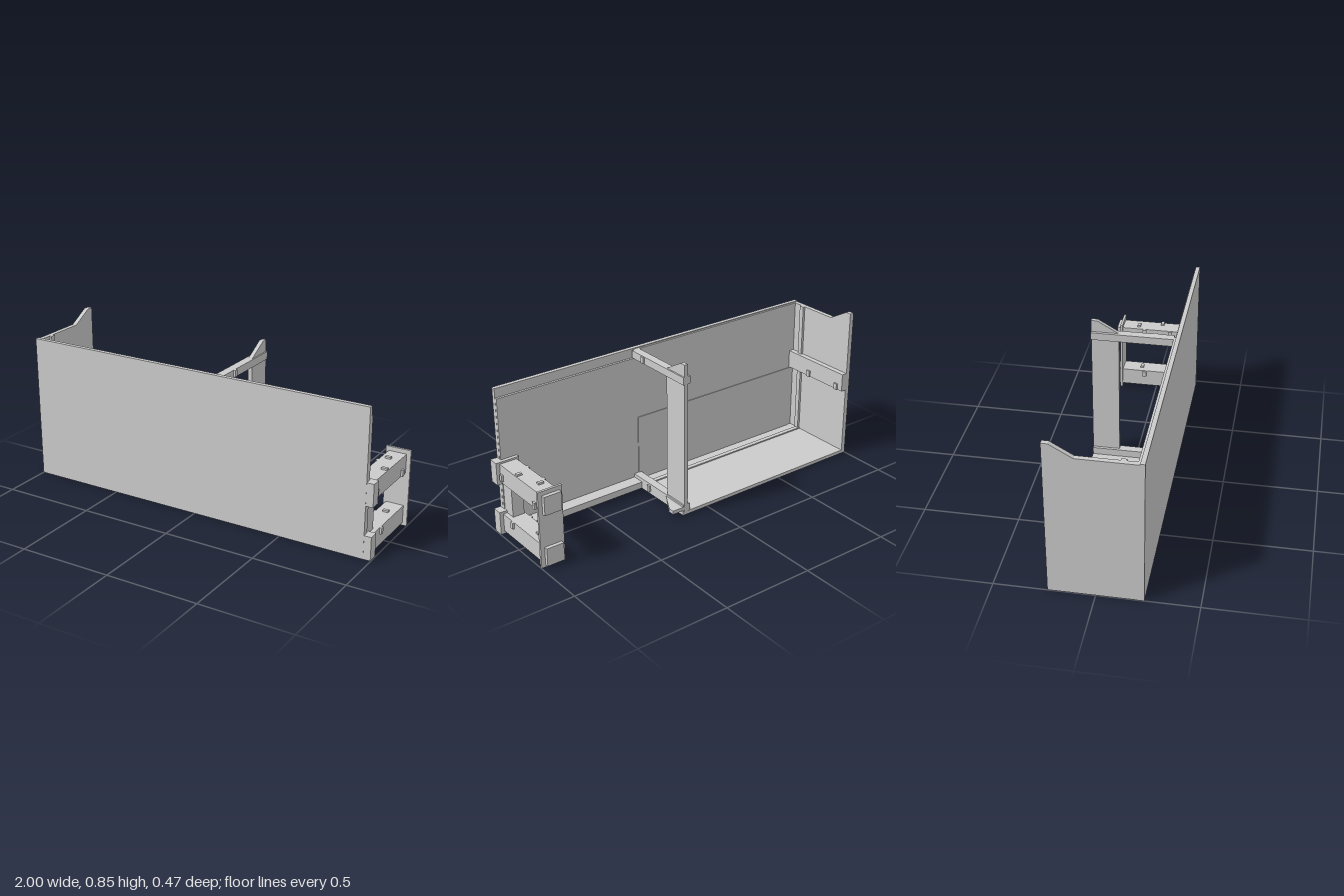
import * as THREE from 'three';

const material = new THREE.MeshStandardMaterial({ color: 0xcccccc, flatShading: true });

export function createModel() {
  const model = new THREE.Group();

  // Box given by its limits on each axis
  const box = (name, [x0, x1], [y0, y1], [z0, z1]) => {
    const mesh = new THREE.Mesh(new THREE.BoxGeometry(x1 - x0, y1 - y0, z1 - z0), material);
    mesh.position.set((x0 + x1) / 2, (y0 + y1) / 2, (z0 + z1) / 2);
    mesh.name = name;
    model.add(mesh);
  };

  // Plate in the side plane: points are [z, y], extruded from x0 to x1
  const sidePlate = (name, points, x0, x1) => {
    const shape = new THREE.Shape(points.map(([z, y]) => new THREE.Vector2(-z, y)));
    const geometry = new THREE.ExtrudeGeometry(shape, { depth: x1 - x0, bevelEnabled: false });
    geometry.rotateY(Math.PI / 2).translate(x0, 0, 0);
    const mesh = new THREE.Mesh(geometry, material);
    mesh.name = name;
    model.add(mesh);
  };

  // Front panel with its inner lining
  box('frontPanel', [-1, 0.96], [0, 0.785], [0.21, 0.233]);
  box('liningLong', [-1, 0.14], [0, 0.78], [0.199, 0.211]);
  box('liningLower', [-0.95, 0.13], [0.02, 0.39], [0.195, 0.2]);
  box('liningShort', [0.14, 0.959], [0.002, 0.735], [0.197, 0.211]);

  // Floor, sill strip and ridge
  box('floor', [-1, 0.16], [0.001, 0.02], [-0.233, 0.21]);
  box('floorRidge', [-0.975, 0.12], [0.015, 0.027], [0.115, 0.14]);
  box('sill', [0.15, 0.958], [0.003, 0.04], [0.127, 0.2]);

  // Outer side panel with a raised back corner
  sidePlate('sidePanel', [[0.21, 0.002], [0.21, 0.78], [-0.087, 0.78], [-0.2, 0.845], [-0.233, 0.845], [-0.233, 0.002]], -1, -0.975);
  box('sideRail', [-0.976, -0.945], [0.395, 0.495], [-0.233, 0.2]);
  box('sidePost', [-0.976, -0.962], [0.02, 0.78], [0.12, 0.147]);
  for (const z of [-0.19, 0.03]) box('sideRailPeg', [-0.946, -0.935], [0.395, 0.43], [z - 0.011, z + 0.011]);

  // Open partition frame
  sidePlate('partitionPost', [[-0.087, 0.004], [-0.087, 0.78], [-0.2, 0.845], [-0.233, 0.845], [-0.233, 0.004]], 0.13, 0.152);
  box('partitionTopRail', [0.115, 0.16], [0.74, 0.781], [-0.233, 0.2]);
  box('partitionBottomRail', [0.115, 0.16], [0.002, 0.06], [-0.232, 0.2]);
  for (const z of [0.1, 0.06]) box('partitionPeg', [0.159, 0.17], z === 0.1 ? [0.745, 0.78] : [0.015, 0.05], [z - 0.011, z + 0.011]);

  // Gusset foot beside the partition
  const foot = new THREE.Shape([[0.15, 0.233], [0.225, 0.233], [0.225, 0.2], [0.16, 0.087], [0.15, 0.087]]
    .map(([x, y]) => new THREE.Vector2(x, y)));
  const footMesh = new THREE.Mesh(new THREE.ExtrudeGeometry(foot, { depth: 0.02, bevelEnabled: false }).rotateX(-Math.PI / 2).translate(0, 0.03, 0), material);
  footMesh.name = 'gussetFoot';
  model.add(footMesh);

  // End bracket: two arms, front blocks, joining post and back plate
  for (const [y0, y1, b0, b1] of [[0.016, 0.113, 0, 0.127], [0.295, 0.395, 0.283, 0.405]]) {
    box('bracketArm', [0.882, 0.978], [y0, y1], [-0.233, 0.19]);
    box('bracketBlock', [0.868, 0.998], [b0, b1], [0.177, 0.232]);
    // Pegs on the arm's faces
    for (const z of [-0.07, 0.08]) box('armPeg', [0.872, 0.883], [y1 - 0.035, y1 - 0.002], [z - 0.011, z + 0.011]);
    const outer = y0 > 0.2 ? [[-0.147, 0.298], [0.157, 0.312]] : [[0.08, 0.079]];
    for (const [z, y] of outer) box('armPeg', [0.977, 0.989], [y, y + 0.034], [z - 0.01, z + 0.01]);
    const top = y0 > 0.2 ? [[0.92, -0.108], [0.96, 0.026]] : [[0.93, -0.09]];
    for (const [x, z] of top) box('armTopPeg', [x - 0.015, x + 0.015], [y1 - 0.001, y1 + 0.01], [z - 0.009, z + 0.009]);
    box('armBottomPeg', [0.915, 0.945], [y0 - 0.01, y0 + 0.001], [0.053, 0.073]);
  }
  box('bracketPost', [0.89, 0.955], [0.1, 0.3], [0.12, 0.198]);
  box('bracketBackPlate', [0.866, 1], [0.002, 0.418], [-0.213, -0.2]);

  return model;
}
